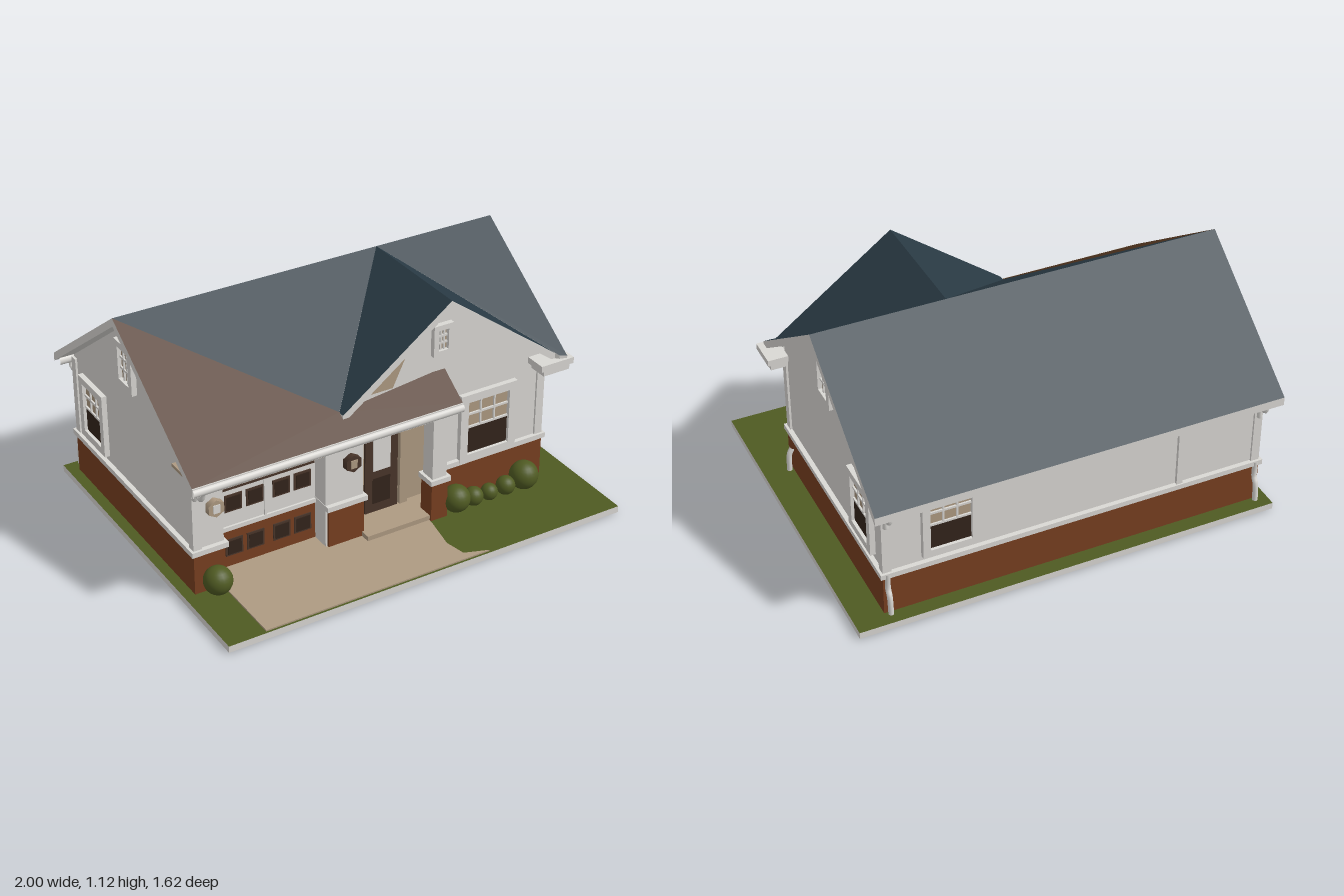
import * as THREE from 'three';

const mat = (name, color, side = THREE.FrontSide) => {
  const m = new THREE.MeshStandardMaterial({ color, side });
  m.name = name;
  return m;
};

export function createModel() {
  const white = mat('white trim', 0xdad8d4), blue = mat('slate blue roof', 0x293a44);
  const roofBrown = mat('brown roof', 0x50341f), brick = mat('brick', 0x783f20);
  const tan = mat('tan', 0xae9a82), green = mat('grass', 0x4f5a22);
  const dark = mat('dark glass', 0x33241b), doorBrown = mat('door brown', 0x49352a);
  const house = new THREE.Group();
  house.name = 'house';

  const add = (name, geo, m, parent = house) => {
    const mesh = new THREE.Mesh(geo, m);
    mesh.name = name;
    parent.add(mesh);
    return mesh;
  };
  // Box given by its limits
  const box = (name, m, x0, x1, y0, y1, z0, z1, parent) => {
    const g = new THREE.BoxGeometry(x1 - x0, y1 - y0, z1 - z0);
    g.translate((x0 + x1) / 2, (y0 + y1) / 2, (z0 + z1) / 2);
    return add(name, g, m, parent);
  };
  const extrude = (pts, depth, holePts) => {
    const s = new THREE.Shape(pts.map(p => new THREE.Vector2(...p)));
    if (holePts) s.holes.push(new THREE.Path(holePts.map(p => new THREE.Vector2(...p))));
    return new THREE.ExtrudeGeometry(s, { depth, bevelEnabled: false, curveSegments: 8 });
  };
  const rect = (w, h) => [[-w / 2, -h / 2], [w / 2, -h / 2], [w / 2, h / 2], [-w / 2, h / 2]];
  const pipe = (name, pts, r = 0.013) => add(name, new THREE.TubeGeometry(
    new THREE.CatmullRomCurve3(pts.map(p => new THREE.Vector3(...p))), 16, r, 8), white);

  // Lawn slab, driveway and underside
  box('lawnSlab', [white, white, green, green, white, white], -1, 1, 0.003, 0.035, -0.8, 0.81);
  const drive = [[-0.82, 0.3], [0.22, 0.3], [0.2, 0.5], [0.17, 0.66], [0.19, 0.76], [0.3, 0.8], [-0.82, 0.8]];
  const paving = (name, pts, top, depth) => {
    const g = extrude(pts, depth);
    g.rotateX(Math.PI / 2);
    add(name, g, tan).position.y = top;
  };
  paving('driveway', drive, 0.042, 0.008);
  paving('foundationUnderside', [[-0.96, -0.74], [0.87, -0.74], [0.87, 0.4], [0.2, 0.4], [0.2, 0.6],
    [-0.3, 0.6], [-0.3, 0.42], [-0.96, 0.42]], 0.004, 0.004);
  box('porchFloor', tan, -0.12, 0.29, 0.035, 0.065, 0.2, 0.47);

  // Walls cut to the roof line, as sections along x
  const frontY = z => 1.115 - 0.69 * (z + 0.15);
  const wall = (name, z1, x0, x1) => {
    const g = extrude([[-0.72, 0.035], [z1, 0.035], [z1, frontY(z1) - 0.045], [-0.15, 1.07], [-0.72, 0.65]], x1 - x0);
    g.rotateY(-Math.PI / 2);
    add(name, g, white).position.x = x1;
  };
  wall('mainWalls', 0.28, -0.9, 0.81);
  wall('leftEndWall', 0.41, -0.94, -0.9);
  wall('rightEndWall', 0.385, 0.81, 0.85);
  box('garageLeftPier', white, -0.92, -0.8, 0.035, 0.62, 0.27, 0.41);
  box('garageRightPier', white, -0.3, -0.11, 0.035, 0.62, 0.27, 0.41);
  box('garageHeader', tan, -0.8, -0.3, 0.5, 0.62, 0.27, 0.4);
  box('wingWalls', white, 0.28, 0.83, 0.035, 0.68, 0.27, 0.385);
  const gable = extrude([[-0.2, 0.6], [0.85, 0.6], [0.85, 0.665], [0.3, 1.07], [-0.2, 0.7]], 0.2);
  gable.translate(0, 0, 0.185);
  add('frontGableWall', gable, white);
  const shade = extrude([[-0.06, 0.73], [0.05, 0.73], [0.14, 0.92], [0.11, 0.92]], 0.004);
  shade.translate(0, 0, 0.385);
  add('gableTanPanel', shade, tan);

  // Brick skirt and white ledge: each entry is x0, x1, z0, z1
  for (const [x0, x1, z0, z1] of [[-0.95, 0.86, -0.73, 0.26], [-0.95, -0.8, 0.2, 0.42],
    [-0.29, -0.11, 0.26, 0.42], [0.29, 0.86, 0.2, 0.395]]) {
    if (z0 < 0) {
      box('brickBack', brick, x0, x1, 0.03, 0.23, z0, -0.7);
      box('ledgeBack', white, x0 - 0.012, x1 + 0.012, 0.23, 0.255, z0 - 0.012, -0.7);
      for (const [a, b] of [[x0, x0 + 0.03], [x1 - 0.03, x1]]) {
        box('brickSide', brick, a, b, 0.03, 0.23, z0, z1);
        box('ledgeSide', white, a - 0.012, b + 0.012, 0.23, 0.255, z0, z1);
      }
    } else {
      box('brickFront', brick, x0, x1, 0.03, 0.23, z0, z1);
      box('ledgeFront', white, x0 - 0.012, x1 + 0.012, 0.23, 0.255, z0, z1 + 0.012);
    }
  }
  // Corner boards
  for (const [x, z] of [[0.84, 0.375], [0.84, -0.71], [-0.93, -0.71], [-0.93, 0.4]])
    box('cornerBoard', white, x - 0.02, x + 0.02, 0.25, 0.64, z - 0.02, z + 0.02);
  box('backStrip', white, -0.56, -0.53, 0.25, 0.65, -0.735, -0.71);

  // Roof panel: coloured top face, white edges and underside
  const panel = (name, m, pts, t = 0.04) => {
    const pos = [], tri = (a, b, c) => pos.push(...a, ...b, ...c);
    const low = pts.map(([x, y, z]) => [x, y - t, z]), n = pts.length;
    for (let i = 1; i < n - 1; i++) tri(pts[0], pts[i], pts[i + 1]);
    const top = pos.length / 3;
    for (let i = 1; i < n - 1; i++) tri(low[0], low[i + 1], low[i]);
    for (let i = 0; i < n; i++) {
      const j = (i + 1) % n;
      tri(pts[i], low[i], low[j]);
      tri(pts[i], low[j], pts[j]);
    }
    const g = new THREE.BufferGeometry();
    g.setAttribute('position', new THREE.Float32BufferAttribute(pos, 3));
    g.computeVertexNormals();
    g.addGroup(0, top, 0);
    g.addGroup(top, pos.length / 3 - top, 1);
    add(name, g, [m, white]);
  };
  const F = (x, z) => [x, frontY(z), z];
  const G = (x, z) => [x, 1.115 - 0.74 * Math.abs(x - 0.3), z];
  panel('backRoof', blue, [[-1, 0.632, -0.81], [-1, 1.115, -0.15], [0.915, 1.115, -0.15], [0.915, 0.632, -0.81]]);
  panel('frontRoofBrown', roofBrown, [F(-0.24, 0.425), F(-1, -0.15), F(-1, 0.53), F(0.32, 0.53), F(0.32, 0.38)]);
  panel('frontRoofBlue', blue, [F(-1, -0.15), F(-0.24, 0.425), F(0.3, -0.15)]);
  panel('frontRoofRight', blue, [F(0.3, -0.15), F(0.88, 0.47), F(0.915, 0.48), F(0.915, -0.15)]);
  panel('gableRoofLeft', blue, [G(0.3, -0.15), G(-0.24, 0.425), G(-0.24, 0.455), G(0.3, 0.455)]);
  panel('gableRoofRight', blue, [G(0.3, -0.15), G(0.3, 0.455), G(0.915, 0.455), G(0.87, 0.44)]);

  // Eaves, gutters and downpipes
  box('frontFascia', white, -1, 0.32, 0.6, 0.645, 0.5, 0.535);
  box('frontSoffit', tan, -0.96, 0.3, 0.6, 0.615, 0.27, 0.51);
  box('eaveReturn', white, 0.79, 0.93, 0.61, 0.645, 0.35, 0.48);
  box('eaveReturnCap', white, 0.77, 0.945, 0.64, 0.67, 0.34, 0.49);
  pipe('frontGutter', [[-1, 0.622, 0.53], [-0.3, 0.622, 0.53], [0.32, 0.622, 0.53]], 0.02);
  pipe('backGutter', [[-0.99, 0.6, -0.785], [0, 0.6, -0.785], [0.91, 0.6, -0.785]], 0.022);
  for (const x of [-0.93, 0.84]) {
    pipe('backElbow', [[x, 0.6, -0.785], [x, 0.56, -0.775], [x, 0.555, -0.74], [x, 0.5, -0.735]]);
    pipe('backSpout', [[x, 0.05, -0.76], [x, 0.14, -0.75], [x, 0.17, -0.735], [x, 0.25, -0.735]]);
  }
  pipe('frontSpout', [[0.885, 0.05, 0.33], [0.88, 0.14, 0.33], [0.865, 0.17, 0.33]]);
  pipe('garageElbow', [[-0.95, 0.61, 0.53], [-0.95, 0.57, 0.51], [-0.945, 0.56, 0.45], [-0.94, 0.52, 0.43]]);

  // Window facing +z, then turned to its wall
  const windowUnit = (name, w, h, border, lower, place, turn = 0) => {
    const g = new THREE.Group(), iw = w - 2 * border, ih = h - 2 * border;
    g.name = name;
    add('frame', extrude(rect(w, h), 0.025, rect(iw, ih)), white, g);
    box('pane', tan, -iw / 2, iw / 2, -ih / 2, ih / 2, 0, 0.006, g);
    if (lower) box('lowerPane', dark, -iw / 2, iw / 2, -ih / 2, 0, 0.004, 0.01, g);
    for (const x of [-iw / 6, iw / 6]) box('mullion', white, x - 0.004, x + 0.004, lower ? 0 : -ih / 2, ih / 2, 0.004, 0.014, g);
    for (const y of lower ? [0, ih / 4] : [-ih / 6, ih / 6])
      box('glazingBar', white, -iw / 2, iw / 2, y - 0.005, y + 0.005, 0.004, 0.014, g);
    g.position.set(...place);
    g.rotation.y = turn;
    house.add(g);
  };
  windowUnit('frontWindow', 0.3, 0.35, 0.04, true, [0.55, 0.41, 0.385]);
  windowUnit('gableVent', 0.1, 0.15, 0.025, false, [0.295, 0.905, 0.385]);
  windowUnit('backWindow', 0.26, 0.32, 0.035, true, [0.55, 0.44, -0.72], Math.PI);
  for (const s of [1, -1]) {
    const x = s > 0 ? 0.85 : -0.94;
    windowUnit('sideWindow', 0.24, 0.31, 0.035, true, [x, 0.44, -0.515], s * Math.PI / 2);
    windowUnit('atticWindow', 0.155, 0.215, 0.03, false, [x, 0.87, -0.15], s * Math.PI / 2);
  }

  // Garage door
  box('garageDoorUpper', white, -0.8, -0.3, 0.23, 0.5, 0.28, 0.32);
  box('garageDoorLower', brick, -0.8, -0.3, 0.04, 0.23, 0.28, 0.32);
  box('garageTopBand', doorBrown, -0.77, -0.31, 0.44, 0.5, 0.31, 0.335);
  box('garageRail', white, -0.8, -0.3, 0.23, 0.25, 0.31, 0.33);
  box('garageStile', white, -0.555, -0.545, 0.25, 0.44, 0.315, 0.327);
  for (const x of [-0.705, -0.6, -0.47, -0.365]) for (const y of [0.365, 0.14]) {
    box('panelFrame', doorBrown, x - 0.042, x + 0.042, y - 0.042, y + 0.042, 0.318, 0.325);
    box('panelPane', dark, x - 0.033, x + 0.033, y - 0.033, y + 0.033, 0.32, 0.329);
  }

  // Entrance
  box('entranceSurround', tan, -0.11, 0.28, 0.06, 0.6, 0.27, 0.3);
  for (const [a, b] of [[-0.09, -0.05], [0.14, 0.18]]) box('doorJamb', tan, a, b, 0.06, 0.55, 0.29, 0.32);
  box('doorHead', tan, -0.09, 0.18, 0.51, 0.56, 0.29, 0.325);
  box('frontDoor', doorBrown, -0.04, 0.13, 0.065, 0.51, 0.29, 0.315);
  box('doorGlass', white, 0.0, 0.09, 0.28, 0.47, 0.31, 0.319);
  box('doorPanel', dark, 0.0, 0.09, 0.11, 0.24, 0.31, 0.318);
  box('porchColumn', white, 0.21, 0.285, 0.23, 0.6, 0.4, 0.475);
  box('porchColumnCap', white, 0.2, 0.295, 0.56, 0.6, 0.39, 0.485);
  box('porchColumnLedge', white, 0.195, 0.3, 0.23, 0.255, 0.385, 0.49);
  box('porchColumnBase', brick, 0.205, 0.29, 0.04, 0.23, 0.395, 0.48);

  // Wall lanterns
  for (const [x, m] of [[-0.845, tan], [-0.175, doorBrown]]) {
    const g = new THREE.CylinderGeometry(0.042, 0.042, 0.03, 6);
    g.rotateX(Math.PI / 2);
    add('lantern', g, m).position.set(x, 0.445, 0.425);
    box('lanternGlass', m === tan ? white : tan, x - 0.016, x + 0.016, 0.425, 0.465, 0.438, 0.444);
  }

  // Round bushes: x, radius
  for (const [x, r] of [[-0.865, 0.065], [0.345, 0.065], [0.44, 0.045], [0.525, 0.04], [0.615, 0.045], [0.715, 0.068]])
    add('bush', new THREE.SphereGeometry(r, 20, 14), green).position.set(x, r + 0.045, 0.47);

  return house;
}
